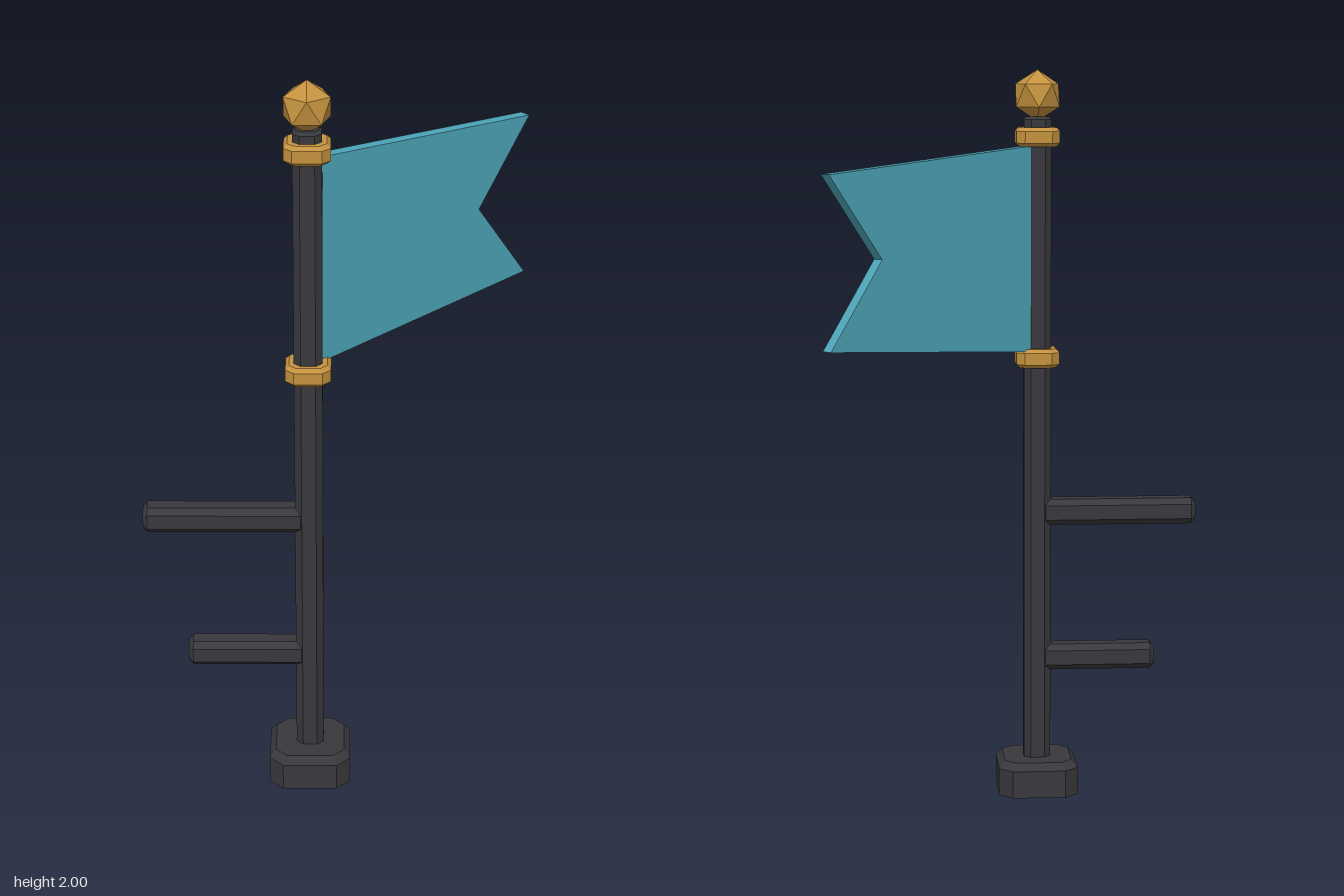
import * as THREE from 'three';

const paint = (color) => new THREE.MeshStandardMaterial({ color, flatShading: true });

// Square with cut corners: half width h, corner cut c
const ring = (h, c) => [
  [h, h - c], [h - c, h], [c - h, h], [-h, h - c],
  [-h, c - h], [c - h, -h], [h - c, -h], [h, c - h],
];

// Capped column through sections [y, half width, corner cut], listed bottom to top
function column(sections) {
  const pos = [], idx = [], n = 8;
  for (const [y, h, c] of sections) for (const [x, z] of ring(h, c)) pos.push(x, y, z);
  for (let s = 0; s < sections.length - 1; s++) {
    for (let i = 0; i < n; i++) {
      const a = s * n + i, b = s * n + (i + 1) % n;
      idx.push(a, a + n, b, b, a + n, b + n);
    }
  }
  const top = (sections.length - 1) * n;
  for (let i = 1; i < n - 1; i++) {
    idx.push(0, i, i + 1);
    idx.push(top, top + i + 1, top + i);
  }
  const g = new THREE.BufferGeometry();
  g.setAttribute('position', new THREE.Float32BufferAttribute(pos, 3));
  g.setIndex(idx);
  const flat = g.toNonIndexed();
  flat.computeVertexNormals();
  return flat;
}

// Column of constant section with bevelled ends
const bar = (y0, y1, h, c, b) => column([
  [y0, h - b, c * (h - b) / h], [y0 + b, h, c], [y1 - b, h, c], [y1, h - b, c * (h - b) / h],
]);

export function createModel() {
  const model = new THREE.Group();
  model.name = 'flagPost';
  const iron = paint(0x38383d), gold = paint(0xc4923f), teal = paint(0x4da5b8);

  const post = new THREE.Group();
  post.position.set(-0.073, 0, 0.193);
  model.add(post);
  const add = (name, geometry, material) => {
    const m = new THREE.Mesh(geometry, material);
    m.name = name;
    post.add(m);
    return m;
  };

  // Base block and pole
  add('base', column([[0, 0.11, 0.037], [0.076, 0.11, 0.037], [0.096, 0.093, 0.031]]), iron);
  add('pole', bar(0.08, 1.875, 0.037, 0.018, 0.008), iron);

  // Collars holding the flag, and the faceted finial
  for (const [name, y] of [['lowerCollar', 1.22], ['upperCollar', 1.82]]) {
    add(name, bar(y - 0.026, y + 0.026, 0.059, 0.022, 0.01), gold);
  }
  const ball = new THREE.IcosahedronGeometry(0.069, 0);
  ball.rotateZ(Math.atan(2 / (1 + Math.sqrt(5))));
  ball.rotateY(Math.PI / 2);
  add('finial', ball, gold).position.y = 1.931;

  // Side pegs reaching to the right
  for (const [name, y, reach] of [['lowerPeg', 0.38, 0.327], ['upperPeg', 0.79, 0.439]]) {
    const peg = add(name, bar(0.01, reach, 0.036, 0.016, 0.012), iron);
    peg.rotation.z = Math.PI / 2;
    peg.position.y = y;
  }

  // Swallow-tailed flag swung back
  const outline = [[0.03, 1.797], [0.03, 1.238], [0.75, 1.295], [0.575, 1.52], [0.75, 1.743]];
  const cloth = new THREE.ExtrudeGeometry(
    new THREE.Shape(outline.map(([x, y]) => new THREE.Vector2(x, y))),
    { depth: 0.032, bevelEnabled: false },
  );
  cloth.translate(0, 0, -0.016);
  add('flag', cloth, teal).rotation.y = THREE.MathUtils.degToRad(40.4);

  return model;
}
